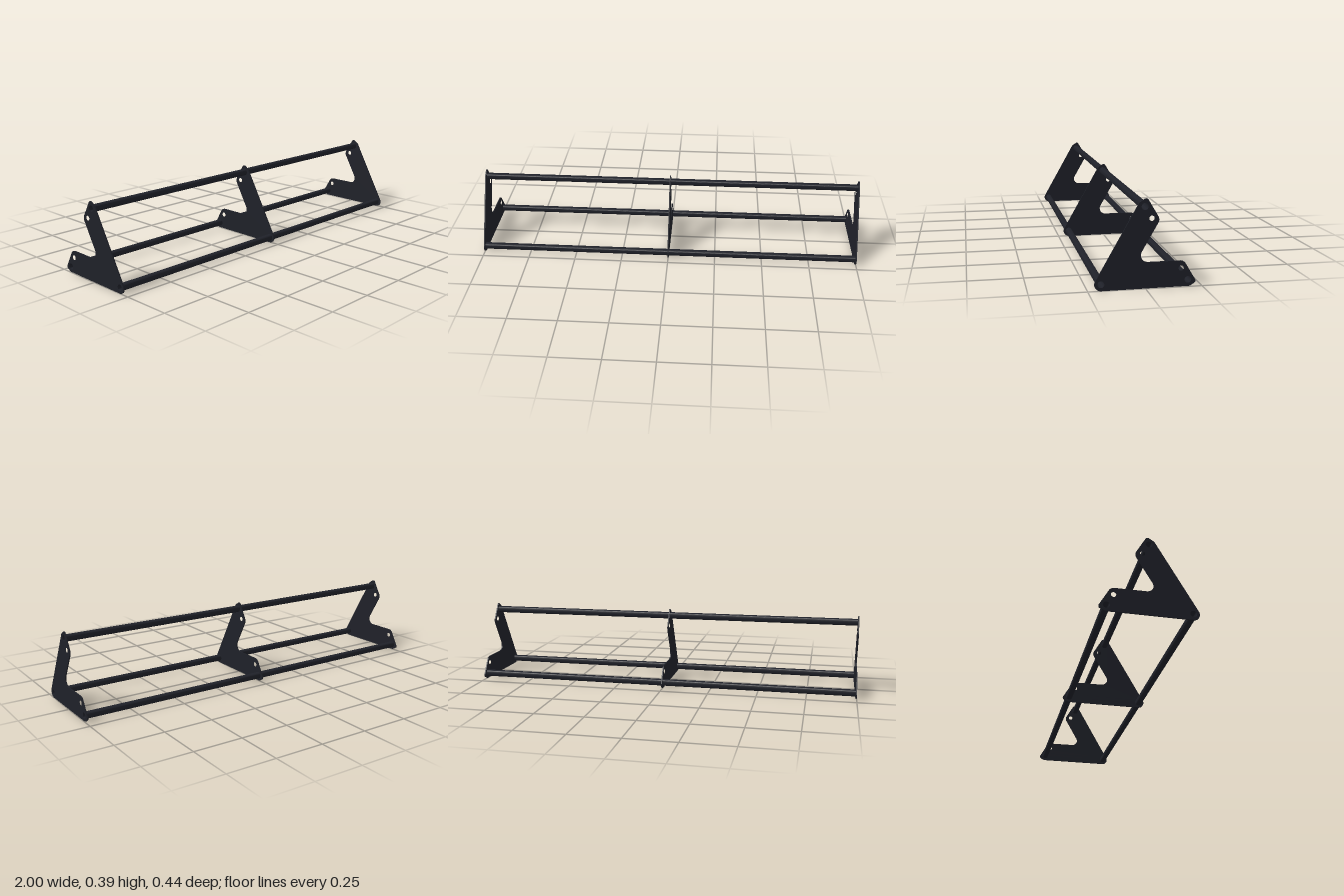
import * as THREE from 'three';
import { toCreasedNormals } from 'three/addons/utils/BufferGeometryUtils.js';

const PLATE = 0.006, TUBE_R = 0.0175, BORE_R = 0.015, BOLT_R = 0.0115;

// Plate corners as [z, y, fillet radius]
const CORNERS = [
  [0.242, 0, 0.028], [-0.194, 0.003, 0.018], [-0.224, 0.021, 0.012], [-0.167, 0.117, 0.028],
  [0.045, 0.117, 0.032], [-0.06, 0.301, 0.028], [-0.003, 0.397, 0.012], [0.03, 0.376, 0.018],
];
const TUBES = { frontTube: [0.194, 0.029], topTube: [0.006, 0.358], rearTube: [-0.186, 0.032] };
const BOLT_HOLES = [[-0.024, 0.307], [-0.155, 0.084]];

// Closed outline with a true arc at every corner, convex or concave
function roundedShape(corners) {
  const shape = new THREE.Shape();
  const n = corners.length;
  corners.forEach(([x, y, r], i) => {
    const p = new THREE.Vector2(x, y);
    const a = new THREE.Vector2(...corners[(i + n - 1) % n].slice(0, 2)).sub(p).normalize();
    const b = new THREE.Vector2(...corners[(i + 1) % n].slice(0, 2)).sub(p).normalize();
    const half = Math.acos(a.dot(b)) / 2;
    const c = a.clone().add(b).normalize().multiplyScalar(r / Math.sin(half)).add(p);
    const t = r / Math.tan(half);
    const start = a.clone().multiplyScalar(t).add(p).sub(c).angle();
    const end = b.clone().multiplyScalar(t).add(p).sub(c).angle();
    shape.absarc(c.x, c.y, r, start, end, a.cross(b) > 0);
  });
  shape.closePath();
  return shape;
}

function addHole(shape, [x, y], r) {
  shape.holes.push(new THREE.Path().absarc(x, y, r, 0, Math.PI * 2, true));
}

// Extrude a z-y profile along x, centred on x = 0
function extrudeAlongX(shape, length) {
  const geo = new THREE.ExtrudeGeometry(shape, { depth: length, bevelEnabled: false, curveSegments: 32 });
  geo.translate(0, 0, -length / 2).rotateY(-Math.PI / 2);
  return toCreasedNormals(geo, 0.6);
}

export function createModel() {
  const model = new THREE.Group();
  model.name = 'tubeRack';
  const material = new THREE.MeshStandardMaterial({ color: 0x1f2129 });

  // Three bracket plates: both ends and the middle
  const outline = roundedShape(CORNERS);
  Object.values(TUBES).forEach((c) => addHole(outline, c, TUBE_R));
  BOLT_HOLES.forEach((c) => addHole(outline, c, BOLT_R));
  const plateGeo = extrudeAlongX(outline, PLATE);
  const plates = { leftPlate: 1 - PLATE / 2, middlePlate: 0, rightPlate: -1 + PLATE / 2 };
  for (const [name, x] of Object.entries(plates)) {
    const plate = new THREE.Mesh(plateGeo, material);
    plate.name = name;
    plate.position.x = x;
    model.add(plate);
  }

  // Three hollow tubes running through the plates
  const ring = new THREE.Shape().absarc(0, 0, TUBE_R, 0, Math.PI * 2, false);
  addHole(ring, [0, 0], BORE_R);
  const tubeGeo = extrudeAlongX(ring, 2);
  for (const [name, [z, y]] of Object.entries(TUBES)) {
    const tube = new THREE.Mesh(tubeGeo, material);
    tube.name = name;
    tube.position.set(0, y, z);
    model.add(tube);
  }
  return model;
}
